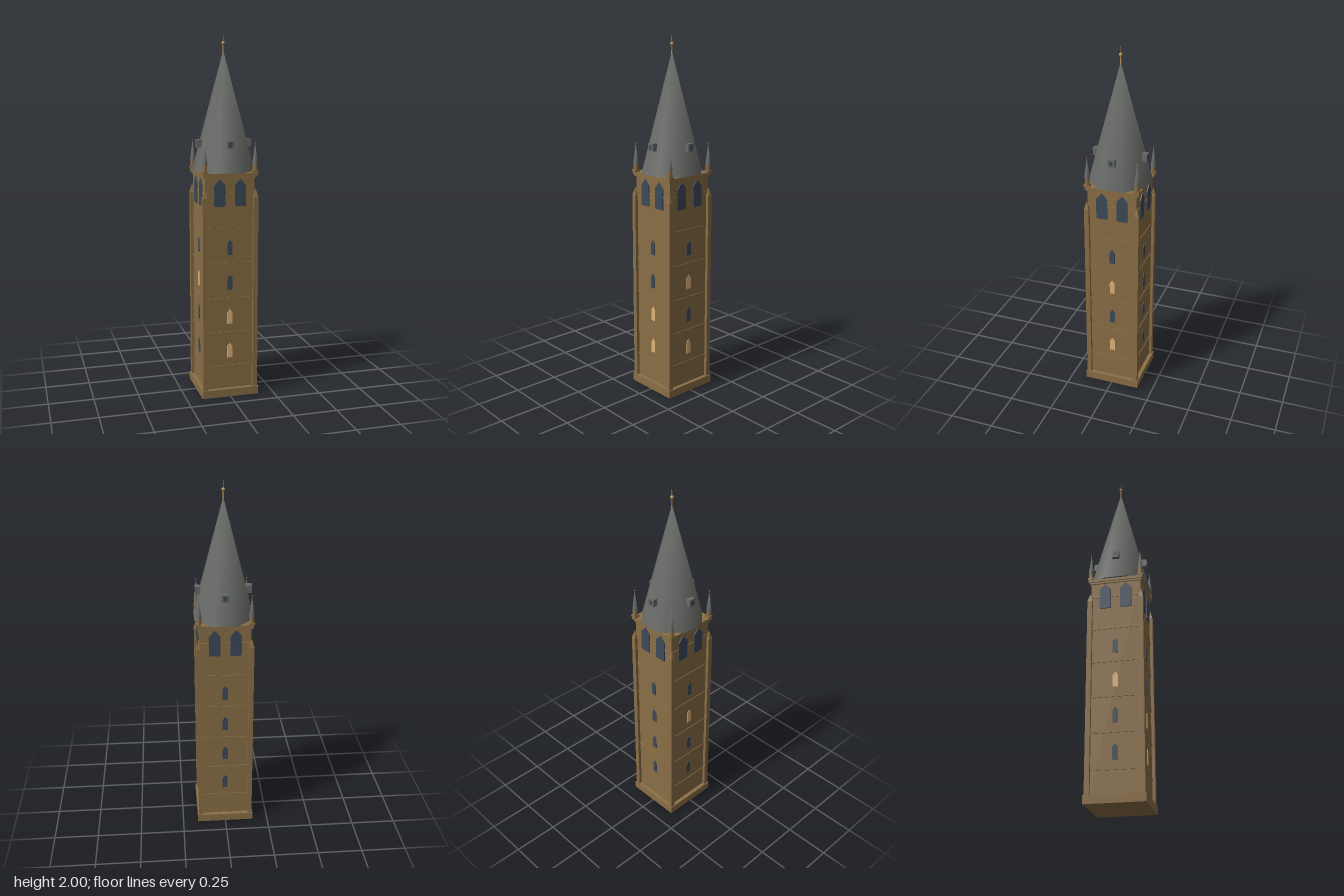
import * as THREE from 'three';
import { mergeVertices } from 'three/addons/utils/BufferGeometryUtils.js';

const paint = (name, color, side = THREE.FrontSide) => {
  const m = new THREE.MeshStandardMaterial({ color, side });
  m.name = name;
  return m;
};

export function createModel() {
  const stone = paint('sandstone', 0x8a6e46);
  const slate = paint('slate', 0x686a67);
  const dark = paint('dark glass', 0x3c4a5a);
  const lit = paint('lit glass', 0xe0b478);
  const gold = paint('gilding', 0xc8985a);

  const tower = new THREE.Group();
  tower.name = 'clockTower';

  const add = (parent, name, geometry, material, x = 0, y = 0, z = 0) => {
    const mesh = new THREE.Mesh(geometry, material);
    mesh.name = name;
    mesh.position.set(x, y, z);
    parent.add(mesh);
    return mesh;
  };
  // Square block centred on the axis, from height y0 to y1
  const block = (name, half, y0, y1) =>
    add(tower, name, new THREE.BoxGeometry(half * 2, y1 - y0, half * 2), stone, 0, (y0 + y1) / 2, 0);

  // Cone with normals shared all the way round, soft over its flat sides
  const softCone = (radius, height) => {
    const g = new THREE.ConeGeometry(radius, height, 8, 1, true);
    g.rotateY(Math.PI / 8);
    g.deleteAttribute('uv');
    g.deleteAttribute('normal');
    const merged = mergeVertices(g, 1e-5);
    merged.computeVertexNormals();
    return merged;
  };

  // Thin window plate with a pointed head, its foot at the origin
  const windowPlate = (width, shoulder, height) => {
    const w = width / 2;
    const s = new THREE.Shape();
    s.moveTo(-w, 0);
    s.lineTo(w, 0);
    s.lineTo(w, shoulder);
    s.lineTo(0, height);
    s.lineTo(-w, shoulder);
    s.closePath();
    return new THREE.ExtrudeGeometry(s, { depth: 0.006, bevelEnabled: false });
  };

  // Shaft, plinth, string courses and cornice
  block('plinth', 0.1625, 0, 0.045);
  block('shaft', 0.14, 0.002, 1.245);
  for (const y of [0.175, 0.37, 0.565, 0.765, 0.96, 1.155]) block('stringCourse', 0.144, y - 0.005, y + 0.005);
  block('lowerCornice', 0.147, 1.238, 1.248);
  block('cornice', 0.153, 1.248, 1.264);

  // Corner buttresses with sloped caps, and a pinnacle above each
  const buttress = new THREE.BoxGeometry(0.027, 1.09, 0.027);
  const cap = new THREE.ConeGeometry(0.0135 * Math.SQRT2, 0.05, 4).rotateY(Math.PI / 4).toNonIndexed();
  cap.computeVertexNormals();
  const pinnacleCone = softCone(0.0155, 0.115);
  for (const sx of [-1, 1]) {
    for (const sz of [-1, 1]) {
      const corner = new THREE.Group();
      corner.name = 'corner';
      tower.add(corner);
      const bx = sx * 0.1435, bz = sz * 0.1435, px = sx * 0.141, pz = sz * 0.141;
      add(corner, 'buttress', buttress, stone, bx, 0.585, bz);
      add(corner, 'buttressCap', cap, stone, bx, 1.155, bz);
      add(corner, 'pinnacleBase', new THREE.BoxGeometry(0.031, 0.012, 0.031), stone, px, 1.27, pz);
      add(corner, 'pinnacleShaft', new THREE.CylinderGeometry(0.0125, 0.014, 0.035, 8), stone, px, 1.293, pz);
      add(corner, 'pinnacleCone', pinnacleCone, slate, px, 1.3675, pz);
      add(corner, 'pinnacleTip', new THREE.SphereGeometry(0.003, 8, 6), gold, px, 1.426, pz);
    }
  }

  // Four sides: small windows (bottom to top), belfry openings and a dormer
  const small = windowPlate(0.03, 0.065, 0.085);
  const large = windowPlate(0.062, 0.115, 0.15);
  const sides = [
    [lit, lit, dark, dark],     // front
    [lit, dark, lit, dark],     // left
    [dark, dark, dark, dark],   // back
    [dark, dark, lit, dark],    // right
  ];
  sides.forEach((panes, i) => {
    const side = new THREE.Group();
    side.name = 'side';
    side.rotation.y = i * Math.PI / 2;
    tower.add(side);
    panes.forEach((pane, row) => add(side, 'window', small, pane, 0, 0.224 + row * 0.196, 0.137));
    for (const x of [-0.058, 0.058]) add(side, 'belfryOpening', large, dark, x, 1.083, 0.14);
    add(side, 'dormer', new THREE.BoxGeometry(0.039, 0.042, 0.028), slate, 0, 1.417, 0.14);
    add(side, 'dormerWindow', new THREE.BoxGeometry(0.02, 0.024, 0.003), dark, 0, 1.417, 0.154);
  });

  // Octagonal spire with its underside and finial
  const spireRadius = 0.1625 / Math.cos(Math.PI / 8);
  add(tower, 'spire', softCone(spireRadius, 0.655), slate, 0, 1.592, 0);
  const underside = new THREE.CircleGeometry(spireRadius, 8, Math.PI / 8).rotateX(Math.PI / 2);
  add(tower, 'spireUnderside', underside, slate, 0, 1.2645, 0);
  add(tower, 'finialRod', new THREE.CylinderGeometry(0.001, 0.004, 0.1, 8), gold, 0, 1.95, 0);
  add(tower, 'finialBall', new THREE.SphereGeometry(0.0095, 12, 8), gold, 0, 1.957, 0);

  return tower;
}
